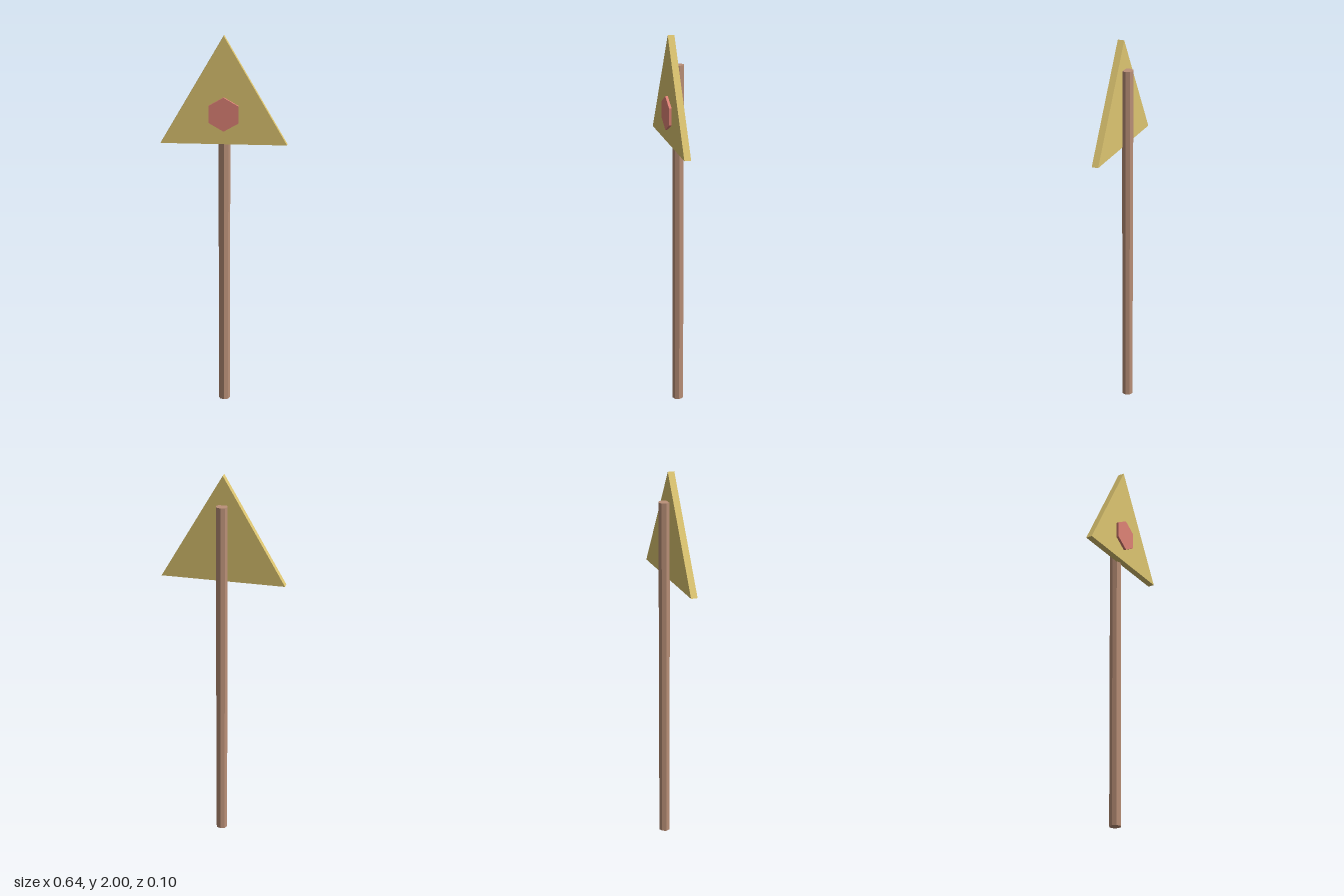
import * as THREE from 'three';

const material = (name, color) => {
  const m = new THREE.MeshStandardMaterial({ color, flatShading: true });
  m.name = name;
  return m;
};

export function createModel() {
  const group = new THREE.Group();
  group.name = 'roadSign';

  const add = (name, geometry, mat, x, y, z) => {
    const mesh = new THREE.Mesh(geometry, mat);
    mesh.name = name;
    mesh.position.set(x, y, z);
    group.add(mesh);
  };

  // Octagonal post, slightly sunk into the back of the board
  add('post', new THREE.CylinderGeometry(0.03, 0.03, 1.85, 8),
    material('brown', 0xba9078), 0, 0.925, -0.019);

  // Triangular board
  const triangle = new THREE.Shape([
    new THREE.Vector2(-0.32, 1.45),
    new THREE.Vector2(0.32, 1.45),
    new THREE.Vector2(0, 2),
  ]);
  add('board', new THREE.ExtrudeGeometry(triangle, { depth: 0.034, bevelEnabled: false }),
    material('yellow', 0xdcc470), 0, 0, 0);

  // Hexagonal badge with a corner at the top
  const badge = new THREE.CylinderGeometry(0.087, 0.087, 0.014, 6).rotateX(Math.PI / 2);
  add('badge', badge, material('red', 0xdd8275), 0, 1.606, 0.04);

  return group;
}
